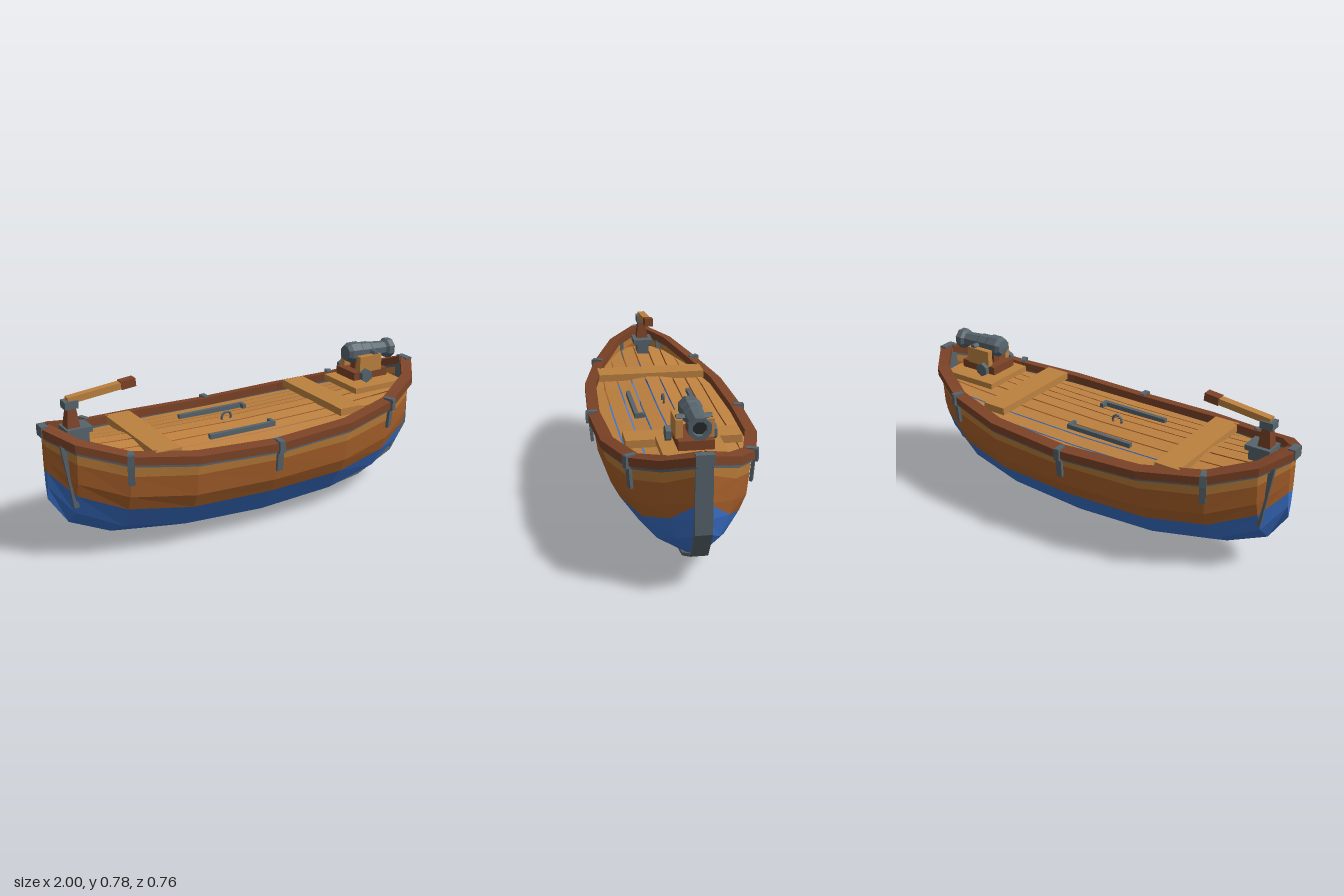
import * as THREE from 'three';

const C = { blue: 0x3a70c8, plank: 0xa8602a, tan: 0xb87a38, wood: 0xbd8140, rail: 0x7c4327, iron: 0x56646c, bore: 0x252b2e };
const mat = (color, side = THREE.FrontSide) => new THREE.MeshStandardMaterial({ color, flatShading: true, side });

// Stations along the hull: x, keel height, sheer height, half beam
const half = [[0, 0, 0.45, 0.35], [0.4, 0.015, 0.465, 0.33], [0.69, 0.06, 0.495, 0.255], [0.89, 0.155, 0.555, 0.15], [0.98, 0.29, 0.6, 0.025]];
const stations = [...half.slice(1).reverse().map(([x, ...r]) => [-x, ...r]), ...half];

// Interpolated station value (1 keel, 2 sheer, 3 half beam)
function at(x, k) {
  const a = Math.min(Math.abs(x), 0.98);
  const i = Math.max(1, half.findIndex(s => s[0] >= a));
  const p = half[i - 1], q = half[i];
  return p[k] + (q[k] - p[k]) * (a - p[0]) / (q[0] - p[0]);
}

// Skin between successive cross-sections
function skin(sections, color, closed = false) {
  const n = sections[0].length, index = [];
  for (let i = 0; i < sections.length - 1; i++) {
    for (let j = 0; j < (closed ? n : n - 1); j++) {
      const a = i * n + j, b = i * n + (j + 1) % n;
      index.push(a, b, a + n, b, b + n, a + n);
    }
  }
  if (closed) {
    for (const o of [0, (sections.length - 1) * n]) for (let j = 1; j < n - 1; j++) index.push(o, o + j, o + j + 1);
  }
  const g = new THREE.BufferGeometry();
  g.setAttribute('position', new THREE.Float32BufferAttribute(sections.flat(2), 3));
  g.setIndex(index);
  g.computeVertexNormals();
  return new THREE.Mesh(g, mat(color, THREE.DoubleSide));
}

export function createModel() {
  const model = new THREE.Group();
  const add = (name, mesh, parent = model) => { mesh.name = name; parent.add(mesh); return mesh; };
  const box = (name, size, pos, color, parent) => {
    const m = new THREE.Mesh(new THREE.BoxGeometry(...size), mat(color));
    m.position.set(...pos);
    return add(name, m, parent);
  };
  // Rectangular bar from a to b; w is its width, t its thickness
  const beam = (name, a, b, w, t, color) => {
    const p = new THREE.Vector3(...a), q = new THREE.Vector3(...b);
    const m = box(name, [w, t, p.distanceTo(q)], p.clone().add(q).multiplyScalar(0.5).toArray(), color);
    m.lookAt(q);
    return m;
  };

  // Hull strakes: height and beam fractions from keel to sheer
  const fz = [0, 0.57, 0.82, 0.935, 0.98, 1];
  const fy = [0, 0.2, 0.48, 0.64, 0.87, 1];
  const hullPoint = (s, j, side) => {
    const f = fy[j] - (j > 1 && j < 5 ? 0.05 * (Math.abs(s[0]) / 0.98) : 0);
    return [s[0], s[1] + f * (s[2] - s[1]), side * fz[j] * s[3]];
  };
  const strakes = [['bottom', 0, 2, C.blue], ['sideStrakes', 2, 4, C.plank], ['topStrake', 4, 5, C.tan]];
  for (const side of [-1, 1]) {
    for (const [name, from, to, color] of strakes) {
      const rows = stations.map(s => {
        const pts = [];
        for (let j = from; j <= to; j++) pts.push(hullPoint(s, j, side));
        return pts;
      });
      add(name, skin(rows, color));
    }
  }
  // Narrow closing faces at bow and stern
  for (const s of [stations[0], stations[8]]) {
    for (const [name, from, to, color] of strakes) {
      const rows = [-1, 1].map(side => {
        const pts = [];
        for (let j = from; j <= to; j++) pts.push(hullPoint(s, j, side));
        return pts;
      });
      add(name + 'End', skin(rows, color));
    }
  }

  // Gunwale and the iron band below it, swept along the sheer
  const sweep = (inner, outer, low, high, drop, side) => stations.map((s, i) => {
    const p = stations[Math.max(0, i - 1)], q = stations[Math.min(8, i + 1)];
    const l = Math.hypot(q[0] - p[0], q[3] - p[3]);
    const nx = -(q[3] - p[3]) / l, nz = (q[0] - p[0]) / l;
    const pt = (o, y) => [s[0] + nx * o, s[2] + y, side * Math.max(0.004, s[3] + nz * o)];
    return [pt(inner, low), pt(outer, low - drop), pt(outer, high - drop), pt(inner, high)];
  });
  for (const side of [-1, 1]) {
    add('gunwale', skin(sweep(-0.035, 0.02, 0, 0.038, 0.008, side), C.rail, true));
    add('ironBand', skin(sweep(-0.005, 0.009, -0.022, 0.0, 0, side), C.iron, true));
  }

  // Crowned deck planks, trimmed to the hull
  const deckY = (x, z) => 0.497 + 0.045 * x * x - 0.16 * Math.abs(z);
  const xs = [-0.93, -0.89, -0.8, -0.69, -0.4, 0, 0.4, 0.69, 0.8, 0.89, 0.93];
  const edges = [0.037, 0.108, 0.178, 0.25, 0.34];
  const plank = (a, b) => add('deckPlank', skin(xs.map(x => {
    const lim = Math.max(0.01, at(x, 3) - 0.025);
    return [a, b].map(z => {
      const c = THREE.MathUtils.clamp(z, -lim, lim);
      return [x, deckY(x, c), c];
    });
  }), C.wood));
  plank(-0.033, 0.033);
  for (let i = 0; i < 4; i++) {
    plank(edges[i] + 0.003, edges[i + 1] - 0.004);
    plank(-edges[i + 1] + 0.004, -edges[i] - 0.003);
  }

  // Thwarts
  box('aftThwart', [0.125, 0.035, 0.54], [-0.515, 0.503, 0], C.wood);
  box('foreThwart', [0.12, 0.035, 0.51], [0.465, 0.514, 0], C.wood);

  // Stem plate along the bow, and the caps at both ends
  const stem = [[0.45, 0.016], [0.69, 0.055], [0.89, 0.15], [0.982, 0.288], [0.982, 0.62]];
  add('stemPlate', skin(stem.map(([x, y], i) => {
    const dx = i > 2 ? -0.025 : 0, dy = i < 4 ? 0.015 : 0;
    return [[x, y, 0.037], [x, y, -0.037], [x + dx, y + dy, -0.037], [x + dx, y + dy, 0.037]];
  }), C.iron, true));
  box('stemCap', [0.035, 0.05, 0.075], [0.98, 0.612, 0], C.iron);
  box('sternCap', [0.035, 0.05, 0.06], [-0.98, 0.612, 0], C.iron);

  // Iron straps with clasps over the gunwale
  for (const side of [-1, 1]) {
    for (const x of [-0.69, 0, 0.69]) {
      const y = at(x, 2), z = at(x, 3), yaw = side * Math.sign(x) * 0.4;
      const strap = new THREE.Group();
      strap.position.set(x, y, side * z);
      strap.rotation.y = yaw;
      add('strap', strap);
      const plate = box('strapPlate', [0.03, 0.145, 0.014], [0, -0.035, side * 0.008], C.iron, strap);
      plate.rotation.x = side * 0.08;
      box('strapOuterLug', [0.03, 0.055, 0.014], [0, 0.012, side * 0.023], C.iron, strap);
      box('strapTop', [0.025, 0.012, 0.05], [0, 0.036, side * 0.002], C.iron, strap);
    }
    beam('sternStrap', [-0.935, 0.575, side * 0.1], [-0.888, 0.27, side * 0.103], 0.02, 0.024, C.iron);
  }

  // Hooked irons and a ring on the deck
  for (const side of [-1, 1]) {
    box('deckIron', [0.35, 0.022, 0.02], [-0.075, 0.487, side * 0.15], C.iron);
    box('deckIronHook', [0.018, 0.022, 0.045], [0.091, 0.489, side * 0.132], C.iron);
  }
  const ring = add('deckRing', new THREE.Mesh(new THREE.TorusGeometry(0.026, 0.006, 5, 10), mat(C.iron)));
  ring.position.set(-0.075, 0.503, 0);

  // Tiller on its post
  box('tillerBase', [0.12, 0.024, 0.1], [-0.83, 0.595, 0], C.iron);
  box('tillerFoot', [0.1, 0.06, 0.06], [-0.83, 0.56, 0], C.iron);
  add('tillerPost', skin([[0.605, 0.03], [0.7, 0.018]].map(([y, r]) =>
    [[-0.85 - r, y, -r], [-0.85 + r, y, -r], [-0.85 + r, y, r], [-0.85 - r, y, r]]), C.rail, true));
  box('tillerCap', [0.062, 0.035, 0.055], [-0.853, 0.71, 0], C.iron);
  beam('tillerArm', [-0.865, 0.728, 0], [-0.61, 0.755, 0], 0.036, 0.03, C.wood);
  beam('tillerGrip', [-0.615, 0.755, 0], [-0.545, 0.762, 0], 0.042, 0.038, C.rail);

  // Cannon carriage
  box('gunPlatform', [0.29, 0.028, 0.27], [0.725, 0.553, 0], C.wood);
  box('carriageBed', [0.2, 0.04, 0.15], [0.71, 0.605, 0], C.rail);
  box('carriageBlock', [0.09, 0.06, 0.04], [0.7, 0.645, 0], C.rail);
  box('carriageAxle', [0.03, 0.03, 0.18], [0.665, 0.61, 0], C.rail);
  for (const side of [-1, 1]) {
    box('carriageCheek', [0.13, 0.08, 0.03], [0.705, 0.662, side * 0.065], C.wood);
    const wheel = add('carriageWheel', new THREE.Mesh(new THREE.CylinderGeometry(0.034, 0.034, 0.023, 6), mat(C.iron)));
    wheel.rotation.x = Math.PI / 2;
    wheel.position.set(0.665, 0.611, side * 0.096);
  }

  // Barrel, turned in eight sides
  const gun = new THREE.Group();
  gun.position.set(0.74, 0.705, 0);
  gun.rotation.z = -Math.PI / 2 - 0.04;
  add('cannon', gun);
  const profile = [[0, -0.14], [0.038, -0.135], [0.05, -0.115], [0.051, -0.06], [0.045, -0.05], [0.045, 0], [0.041, 0.01], [0.037, 0.095],
    [0.05, 0.108], [0.05, 0.138], [0.032, 0.138], [0.028, 0.1]].map(p => new THREE.Vector2(...p));
  const barrel = add('barrel', new THREE.Mesh(new THREE.LatheGeometry(profile, 8), mat(C.iron, THREE.DoubleSide)), gun);
  barrel.rotation.y = Math.PI / 8;
  const bore = add('bore', new THREE.Mesh(new THREE.CylinderGeometry(0.031, 0.031, 0.01, 8), mat(C.bore)), gun);
  bore.position.y = 0.115;
  bore.rotation.y = Math.PI / 8;
  const trunnion = add('trunnion', new THREE.Mesh(new THREE.CylinderGeometry(0.014, 0.014, 0.15, 6), mat(C.iron)), gun);
  trunnion.rotation.x = Math.PI / 2;

  return model;
}
